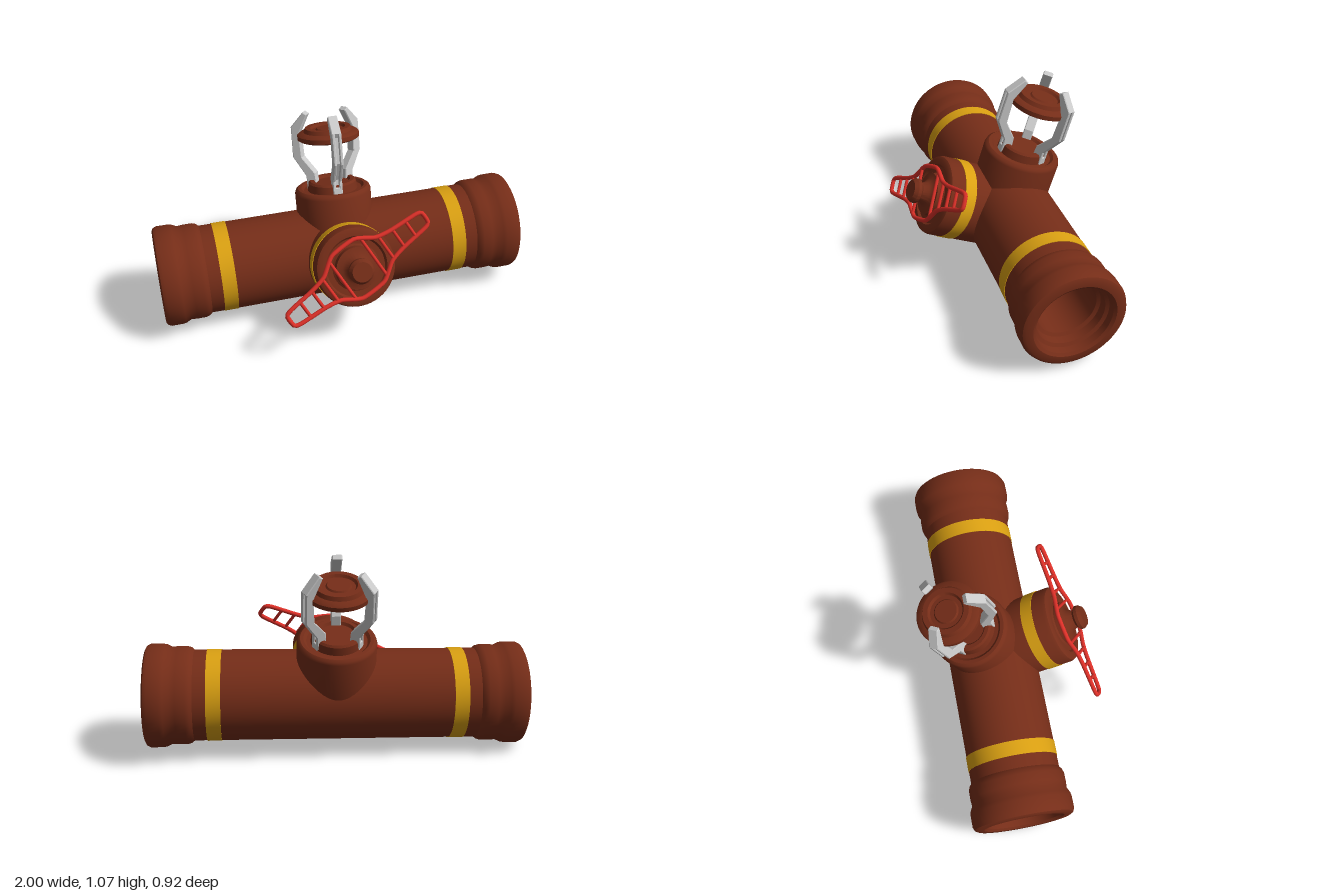
import * as THREE from 'three';
import { toCreasedNormals } from 'three/addons/utils/BufferGeometryUtils.js';

const paint = (color) => new THREE.MeshStandardMaterial({ color });
const brown = paint(0x752d18), gold = paint(0xdaa012), red = paint(0xdd3028), grey = paint(0xcccccc);

function add(parent, name, geometry, material) {
  const mesh = new THREE.Mesh(geometry, material);
  mesh.name = name;
  parent.add(mesh);
  return mesh;
}

// turned part from [radius, height] pairs, keeping hard edges sharp
function turned(points, sides = 64) {
  const profile = points.map(([r, h]) => new THREE.Vector2(r, h));
  return toCreasedNormals(new THREE.LatheGeometry(profile, sides), 0.6);
}

const band = (r, from, to) => turned([[r - 0.01, from], [r, from], [r, to], [r - 0.01, to]]);

// main pipe: one half profile from the middle outwards, then mirrored
function createPipe() {
  const pipe = new THREE.Group();
  pipe.name = 'mainPipe';
  const outer = [[0.24, 0.745], [0.253, 0.76], [0.259, 0.78], [0.259, 0.83], [0.256, 0.86],
    [0.27, 0.89], [0.273, 0.91], [0.273, 0.97], [0.265, 0.988], [0.25, 0.996]];
  const lip = [[0.215, 0.996], [0.2, 0.985], [0.195, 0.95], [0.178, 0.94], [0.172, 0.9], [0.155, 0.89]];
  const half = [...outer, ...lip];
  const flip = half.map(([r, h]) => [r, -h]).reverse();
  // outside from left to right, then back through the bore
  const loop = [...flip, ...half, flip[0]];
  add(pipe, 'pipeBody', turned(loop), brown);
  for (const s of [-1, 1]) {
    add(pipe, 'pipeBand', band(0.243, s * 0.64 - 0.038, s * 0.64 + 0.038), gold);
  }
  pipe.rotation.z = -Math.PI / 2 + 0.018;
  pipe.position.set(0, 0.295, -0.1);
  return pipe;
}

// ladder-shaped lever handle, lying in the plane across the branch
function createHandle() {
  const handle = new THREE.Group();
  handle.name = 'leverHandle';
  const quarter = [[0.07, 0.14], [0.165, 0.078], [0.25, 0.058], [0.4, 0.045], [0.435, 0.03]];
  const right = [...quarter, ...quarter.map(([a, b]) => [a, -b]).reverse()];
  const outline = [...right, ...right.map(([a, b]) => [-a, -b])].map(([a, b]) => new THREE.Vector3(a, b, 0));
  const path = new THREE.CatmullRomCurve3(outline, true, 'catmullrom', 0.3);
  add(handle, 'handleFrame', new THREE.TubeGeometry(path, 140, 0.012, 8, true), red);
  for (const s of [-1, 1]) {
    for (const [a, h] of [[0.1, 0.24], [0.18, 0.14], [0.26, 0.11], [0.34, 0.1]]) {
      add(handle, 'handleRung', new THREE.CylinderGeometry(0.009, 0.009, h, 8), red).position.x = s * a;
    }
  }
  handle.rotation.set(-Math.PI / 2, 0, 0.51);
  handle.position.y = 0.496;
  return handle;
}

function createValveBranch() {
  const branch = new THREE.Group();
  branch.name = 'valveBranch';
  add(branch, 'valveBody', turned([[0, 0.036], [0.213, 0.036], [0.213, 0.435], [0.207, 0.452], [0.192, 0.46],
    [0.165, 0.46], [0.155, 0.448], [0.125, 0.448], [0.115, 0.455], [0.112, 0.485], [0.08, 0.49]].concat(
    [[0.06, 0.505], [0.047, 0.535], [0.066, 0.55], [0.066, 0.568], [0.052, 0.587], [0, 0.587]])), brown);
  add(branch, 'valveBand', band(0.216, 0.307, 0.373), gold);
  branch.add(createHandle());
  branch.rotation.x = 1.104;
  branch.position.set(0, 0.255, -0.1);
  return branch;
}

// bent claw: two cheeks with a thinner web between them, leaving a groove outside
function createClaw() {
  const claw = new THREE.Group();
  claw.name = 'claw';
  const inner = [[0.108, 0.766], [0.16, 0.664], [0.155, 0.529], [0.086, 0.44], [0.079, 0.35]];
  const outer = [[0.138, 0.35], [0.138, 0.424], [0.206, 0.531], [0.204, 0.7], [0.13, 0.78]];
  const web = [[0.138, 0.35], [0.138, 0.385], [0.122, 0.395], [0.122, 0.43],
    [0.19, 0.535], [0.188, 0.675], [0.204, 0.7], [0.13, 0.78]];
  const slab = (name, edge, width, x, bevel) => {
    const shape = new THREE.Shape([...edge, ...inner].map(([r, h]) => new THREE.Vector2(r, h)));
    const geometry = new THREE.ExtrudeGeometry(shape, { depth: width, bevelEnabled: bevel > 0,
      bevelThickness: bevel, bevelSize: bevel, bevelOffset: -bevel, bevelSegments: 1 });
    geometry.translate(0, 0, -width / 2).rotateY(-Math.PI / 2);
    add(claw, name, geometry, grey).position.x = x;
  };
  slab('clawWeb', web, 0.026, 0, 0);
  for (const s of [-1, 1]) slab('clawCheek', outer, 0.009, s * 0.0175, 0.004);
  return claw;
}

function createTopBranch() {
  const branch = new THREE.Group();
  branch.name = 'topBranch';
  add(branch, 'topBody', turned([[0, 0.054], [0.208, 0.054], [0.208, 0.34], [0.203, 0.355], [0.19, 0.365],
    [0.172, 0.365], [0.158, 0.35], [0.136, 0.35], [0.13, 0.392], [0.12, 0.402], [0.1, 0.402],
    [0.09, 0.388], [0, 0.388]]), brown);
  // disc held between the claws
  const disc = add(branch, 'heldDisc', turned([[0, 0.63], [0.155, 0.63], [0.167, 0.637], [0.167, 0.66],
    [0.158, 0.668], [0.132, 0.675], [0.122, 0.695], [0.095, 0.695], [0.085, 0.682], [0.065, 0.682],
    [0.058, 0.69], [0, 0.69]]), brown);
  disc.position.z = -0.01;
  for (let i = 0; i < 3; i++) {
    const claw = createClaw();
    claw.rotation.y = i * Math.PI * 2 / 3;
    branch.add(claw);
  }
  branch.rotation.x = -0.294;
  branch.position.set(0, 0.29, -0.1);
  return branch;
}

export function createModel() {
  const model = new THREE.Group();
  model.name = 'pipeValve';
  model.add(createPipe(), createValveBranch(), createTopBranch());
  return model;
}
